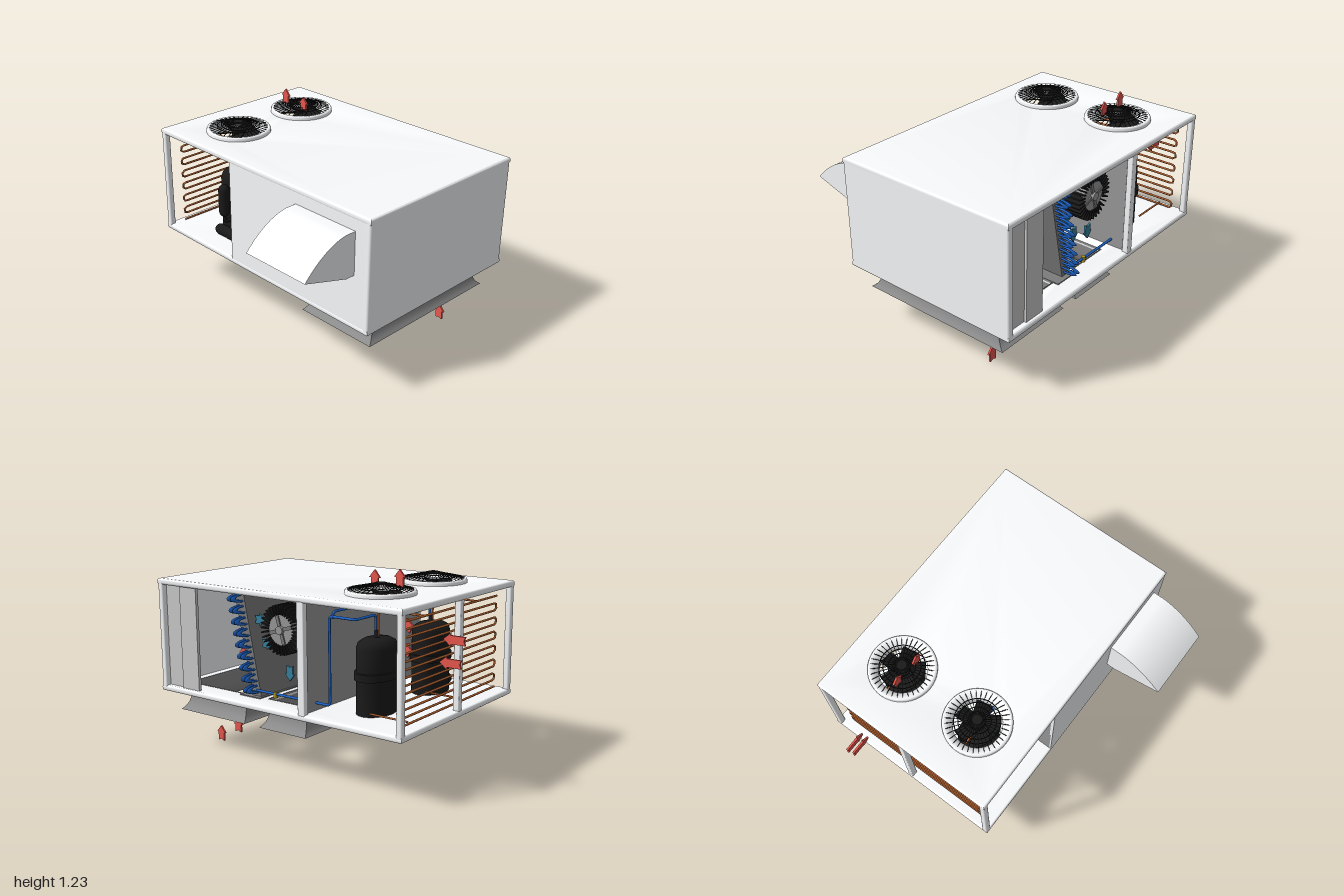
import * as THREE from 'three';
import { toCreasedNormals } from 'three/addons/utils/BufferGeometryUtils.js';
import { RoundedBoxGeometry } from 'three/addons/geometries/RoundedBoxGeometry.js';

const mat = (color, side = THREE.FrontSide) => new THREE.MeshStandardMaterial({ color, side });
const white = mat(0xf9fbfd), whiteSheet = mat(0xf9fbfd, THREE.DoubleSide), ductGrey = mat(0x8c8c8c, THREE.DoubleSide);
const grey = mat(0xcccccc), midGrey = mat(0x999999), finGrey = mat(0x7c7c7c), black = mat(0x1a1a1a), brass = mat(0xb59a20);
const blue = mat(0x1f66cc), copper = mat(0xb5622f), red = mat(0xe8584f), teal = mat(0x37839f);
const V = (x, y, z) => new THREE.Vector3(x, y, z);

export function createModel() {
  const root = new THREE.Group();
  const add = (name, geo, material, parent = root) => {
    const m = new THREE.Mesh(geo, material);
    m.name = name;
    parent.add(m);
    return m;
  };
  // Box given by its limits on each axis
  const box = (name, x0, x1, y0, y1, z0, z1, material = white, r = 0) => {
    const s = [x1 - x0, y1 - y0, z1 - z0];
    const m = add(name, r ? new RoundedBoxGeometry(...s, 3, r) : new THREE.BoxGeometry(...s), material);
    m.position.set((x0 + x1) / 2, (y0 + y1) / 2, (z0 + z1) / 2);
  };
  const rect = (P, a0, a1, b0, b1) => {
    const p = new P();
    p.moveTo(a0, b0).lineTo(a1, b0).lineTo(a1, b1).lineTo(a0, b1).closePath();
    return p;
  };
  const cyl = (name, r, len, x, y, z, material, axis = 'y', parent = root) => {
    const g = new THREE.CylinderGeometry(r, r, len, 28);
    if (axis === 'x') g.rotateZ(Math.PI / 2);
    add(name, g, material, parent).position.set(x, y, z);
  };
  // Pipe along a polyline with rounded corners
  const pipe = (name, pts, r, material, bend = 0.02, segs = 80) => {
    const path = new THREE.CurvePath();
    let prev = pts[0];
    for (let i = 1; i < pts.length - 1; i++) {
      const p = pts[i];
      const cut = q => p.clone().add(q.clone().sub(p).setLength(Math.min(bend, q.distanceTo(p) * 0.49)));
      const a = cut(pts[i - 1]), b = cut(pts[i + 1]);
      path.add(new THREE.LineCurve3(prev, a));
      path.add(new THREE.QuadraticBezierCurve3(a, p, b));
      prev = b;
    }
    path.add(new THREE.LineCurve3(prev, pts[pts.length - 1]));
    add(name, new THREE.TubeGeometry(path, segs, r, 8), material);
  };
  // Open skin through cross-sections that have equal point counts
  const loft = (sections) => {
    const n = sections[0].length, pos = sections.flat().flatMap(p => p.toArray()), idx = [];
    for (let i = 0; i < sections.length - 1; i++)
      for (let j = 0; j < n - 1; j++) {
        const a = i * n + j, b = a + n;
        idx.push(a, b, a + 1, a + 1, b, b + 1);
      }
    const g = new THREE.BufferGeometry();
    g.setAttribute('position', new THREE.Float32BufferAttribute(pos, 3));
    g.setIndex(idx);
    return toCreasedNormals(g, 0.7);
  };

  // Roof and floor slabs with openings
  const fanX = [-0.1, 0.45], fanZ = -0.45, bev = 0.014;
  const slab = (name, top, thick, holes) => {
    const s = rect(THREE.Shape, -0.433 + bev, 0.79 - bev, -0.825 + bev, 1 - bev);
    s.holes = holes;
    const g = new THREE.ExtrudeGeometry(s, { depth: thick - 2 * bev, bevelThickness: bev, bevelSize: bev, bevelSegments: 4, curveSegments: 32 });
    g.rotateX(Math.PI / 2).translate(0, top - bev, 0);
    add(name, toCreasedNormals(g, 0.6), white);
  };
  slab('roof', 1.09, 0.04, fanX.map(x => new THREE.Path().absarc(x, fanZ, 0.17, 0, Math.PI * 2)));
  const ducts = [[-0.28, 0.635, 0.425, 0.905, 'returnDuct'], [-0.17, 0.635, -0.055, 0.235, 'supplyDuct']];
  slab('floor', 0.41, 0.038, ducts.map(d => rect(THREE.Path, d[0] - bev, d[1] + bev, d[2] - bev, d[3] + bev)));

  // Walls, corner posts and divider
  box('frontWall', -0.433, 0.79, 0.376, 1.086, 0.96, 1, white, 0.014);
  const side = rect(THREE.Shape, -0.15, 0.99, 0.385, 1.078);
  side.holes.push(rect(THREE.Path, 0.44, 0.88, 0.72, 0.98));
  add('sideWall', new THREE.ExtrudeGeometry(side, { depth: 0.02, bevelEnabled: false }).rotateY(-Math.PI / 2).translate(-0.411, 0, 0), white);
  for (const [x, z] of [[-0.413, -0.805], [0.77, -0.805], [0.77, 0.978]])
    box('cornerPost', x - 0.02, x + 0.02, 0.38, 1.085, z - 0.02, z + 0.02, white, 0.012);
  box('rearMiddlePost', 0.16, 0.2, 0.4, 1.06, -0.82, -0.78, white, 0.006);
  box('sideMiddlePost', 0.75, 0.788, 0.4, 1.06, -0.165, -0.115, white, 0.006);
  box('divider', -0.42, 0.76, 0.4, 1.06, -0.15, -0.13, midGrey);
  box('sidePanel', 0.74, 0.755, 0.4, 1.06, 0.83, 0.97, grey);
  box('sideStrip', 0.75, 0.77, 0.4, 1.06, 0.69, 0.83, grey);

  // Flared ducts below
  for (const [x0, x1, z0, z1, name] of ducts) {
    const rings = [[0.41, 0], [0.32, 0], [0.3, 0.006], [0.28, 0.014], [0.26, 0.028], [0.247, 0.042], [0.235, 0.058]].map(([y, e]) => {
      const f = e * 0.6;
      return [[x0 - e, z0 - f], [x1 + e, z0 - f], [x1 + e, z1 + f], [x0 - e, z1 + f], [x0 - e, z0 - f]].map(([x, z]) => V(x, y, z));
    });
    add(name, loft(rings), ductGrey);
  }

  // Air intake hood, open along its sloping underside
  const hoodTop = new THREE.CubicBezierCurve(new THREE.Vector2(-0.5, 0.985), new THREE.Vector2(-0.6, 0.975), new THREE.Vector2(-0.71, 0.91), new THREE.Vector2(-0.8, 0.81)).getPoints(16);
  const hoodLine = [new THREE.Vector2(-0.425, 0.985), ...hoodTop];
  add('hoodTop', loft([0.89, 0.43].map(z => hoodLine.map(p => V(p.x, p.y, z)))), whiteSheet);
  const cheek = new THREE.Shape([...hoodLine, new THREE.Vector2(-0.5, 0.72), new THREE.Vector2(-0.425, 0.72)]);
  for (const z of [0.43, 0.89]) add('hoodSide', new THREE.ShapeGeometry(cheek).translate(0, 0, z), whiteSheet);
  box('hoodSill', -0.5, -0.425, 0.717, 0.722, 0.43, 0.89);

  // Two roof fans: collar, domed grille, blades
  for (const x of fanX) {
    const fan = new THREE.Group();
    fan.name = 'roofFan';
    fan.position.set(x, 0, fanZ);
    root.add(fan);
    const collar = [[0.175, 1.06], [0.155, 1.035], [0.145, 1.035], [0.145, 1.08], [0.158, 1.098], [0.175, 1.11], [0.19, 1.116], [0.2, 1.114], [0.205, 1.105], [0.205, 1.085]];
    add('collar', new THREE.LatheGeometry(collar.map(p => new THREE.Vector2(...p)).reverse(), 48), whiteSheet, fan);
    const slope = 0.04 / 0.18;
    for (let i = 0; i < 36; i++) {
      const bar = new THREE.BoxGeometry(0.176, 0.004, 0.003).rotateZ(-Math.atan(slope)).translate(0.106, 1.132, 0).rotateY(i * Math.PI / 18);
      add('grilleBar', bar, black, fan);
    }
    for (const r of [0.05, 0.08, 0.11, 0.135])
      add('grilleRing', new THREE.TorusGeometry(r, 0.003, 6, 40).rotateX(Math.PI / 2).translate(0, 1.155 - r * slope, 0), black, fan);
    cyl('grilleCap', 0.03, 0.008, 0, 1.149, 0, black, 'y', fan);
    cyl('fanHub', 0.045, 0.05, 0, 1.075, 0, black, 'y', fan);
    for (let i = 0; i < 5; i++)
      add('fanBlade', new THREE.BoxGeometry(0.1, 0.006, 0.1).rotateX(0.4).translate(0.082, 1.075, 0).rotateY(i * Math.PI * 0.4), black, fan);
  }

  // Slanted cooling coil with blue return bends
  const slant = new THREE.Shape([[0.483, 1.05], [0.412, 1.05], [0.283, 0.41], [0.353, 0.41]].map(p => new THREE.Vector2(...p)));
  add('coolingCoil', new THREE.ExtrudeGeometry(slant, { depth: 1.04, bevelEnabled: false }).rotateY(-Math.PI / 2).translate(0.65, 0, 0), finGrey);
  for (let i = 0; i < 9; i++)
    for (const off of [-0.015, 0.015]) {
      const y = 0.46 + i * 0.068;
      const g = new THREE.TorusGeometry(0.02, 0.0065, 8, 12, Math.PI).rotateZ(-Math.PI / 2).scale(3.6, 1, 1).rotateX(0.35);
      add('coilBend', g, blue).position.set(0.65, y, 0.318 + (y - 0.41) * 0.203 + off);
    }
  box('dripTray', -0.38, 0.68, 0.408, 0.416, 0.27, 0.43, finGrey);

  // Blower wheel and its motor
  const wheel = new THREE.Group();
  wheel.name = 'blowerWheel';
  wheel.position.set(0.62, 0.85, 0.1);
  root.add(wheel);
  for (let i = 0; i < 32; i++)
    add('blowerBlade', new THREE.BoxGeometry(0.12, 0.06, 0.008).translate(0, 0.12, 0).rotateX(i * Math.PI / 16), black, wheel);
  cyl('blowerDisc', 0.093, 0.1, 0, 0, 0, midGrey, 'x', wheel);
  for (let i = 0; i < 4; i++)
    add('blowerSpoke', new THREE.BoxGeometry(0.01, 0.075, 0.022).translate(0.053, 0.05, 0).rotateX(i * Math.PI / 2 + 0.3), finGrey, wheel);
  cyl('blowerHub', 0.025, 0.14, 0, 0, 0, midGrey, 'x', wheel);
  cyl('blowerShaft', 0.014, 0.95, 0.18, 0.85, 0.1, midGrey, 'x');
  cyl('blowerMotor', 0.064, 0.2, 0.32, 0.61, -0.005, midGrey, 'x');
  cyl('motorShaft', 0.025, 0.24, 0.32, 0.61, -0.005, finGrey, 'x');

  // Compressors, oval from above
  const shell = [[0, 0.41], [0.104, 0.41], [0.104, 0.61], [0.114, 0.612], [0.114, 0.655], [0.104, 0.657], [0.104, 0.79], [0.095, 0.82], [0.07, 0.838], [0, 0.845]];
  for (const x of [-0.1, 0.47]) {
    const g = toCreasedNormals(new THREE.LatheGeometry(shell.map(p => new THREE.Vector2(...p)), 36), 0.7);
    g.scale(1.38, 1, 1);
    add('compressor', g, black).position.set(x, 0, -0.44);
    cyl('compressorPort', 0.014, 0.05, x, 0.86, -0.44, black);
    pipe('hotGasPipe', [V(x, 0.85, -0.45), V(x, 1, -0.45), V(x, 1, -0.755)], 0.006, copper);
    pipe('liquidPipe', [V(x + 0.15, 0.44, -0.5), V(x + 0.15, 0.44, -0.755)], 0.006, copper);
  }
  const tank = (name, len) => add(name, new THREE.CapsuleGeometry(0.036, len, 6, 16), black);
  tank('accumulator', 0.15).position.set(-0.28, 0.67, -0.4);
  const drier = tank('filterDrier', 0.18);
  drier.rotation.x = Math.PI / 2;
  drier.position.set(-0.28, 0.45, -0.355);
  pipe('accumulatorPipe', [V(-0.28, 0.58, -0.4), V(-0.28, 0.52, -0.4), V(-0.14, 0.52, -0.4)], 0.012, black);

  // Serpentine condenser tube across the back
  const rows = 14, zig = [];
  for (let i = 0; i < rows; i++) {
    const y = 0.43 + i * 0.57 / (rows - 1), ends = [V(-0.34, y, -0.755), V(0.71, y, -0.755)];
    zig.push(...(i % 2 ? ends.reverse() : ends));
  }
  pipe('condenserTube', zig, 0.0068, copper, 0.022, 900);

  // Blue suction pipes with brass valve
  pipe('suctionPipe', [V(0.66, 0.455, 0.31), V(0.66, 0.455, -0.25), V(0.66, 0.97, -0.25), V(0.66, 0.97, -0.43), V(0.47, 0.97, -0.43), V(0.47, 0.84, -0.43)], 0.008, blue, 0.02, 160);
  pipe('suctionBranch', [V(0.66, 0.96, -0.27), V(0.66, 1, -0.28), V(-0.1, 1, -0.28), V(-0.1, 1, -0.43), V(-0.1, 0.84, -0.43)], 0.008, blue, 0.02, 160);
  cyl('valve', 0.013, 0.035, 0.66, 0.45, 0.16, brass);

  // Airflow arrows: x, y, z of the middle, turn about x, length
  const arrow = (name, material, x, y, z, turn, len = 0.095) => {
    const h = len / 2, n = h - 0.045;
    const s = new THREE.Shape([[-0.024, -h], [0, -h + 0.01], [0.024, -h], [0.024, n], [0.037, n], [0, h], [-0.037, n], [-0.024, n]].map(p => new THREE.Vector2(...p)));
    const g = new THREE.ExtrudeGeometry(s, { depth: 0.012, bevelEnabled: false }).rotateY(-Math.PI / 2).translate(0.006, 0, 0);
    const m = add(name, g, material);
    m.position.set(x, y, z);
    m.rotation.x = turn;
  };
  const Q = Math.PI / 4;
  for (const a of [
    [0.49, 0.05, 0.79, 0, 0.1], [0.49, 0.135, 0.635, 0], [0.49, 0.63, 0.56, -Q, 0.08], [0.49, 0.49, 0.5, -Q, 0.08],
    [0.4, 1.165, -0.375, 0], [0.4, 1.178, -0.545, 0, 0.1], [0.42, 0.93, -0.61, Q], [0.42, 0.79, -0.6, Q],
    [0.45, 0.885, -0.932, 2 * Q, 0.136], [0.45, 0.755, -0.91, 2 * Q, 0.136],
  ]) arrow('warmAirArrow', red, ...a);
  for (const a of [[0.6, 0.875, 0.32, -2 * Q, 0.08], [0.6, 0.735, 0.27, -2 * Q, 0.08], [0.56, 0.565, 0.13, 4 * Q], [0.58, 0.545, 0.015, 4 * Q]])
    arrow('coolAirArrow', teal, ...a);
  return root;
}
